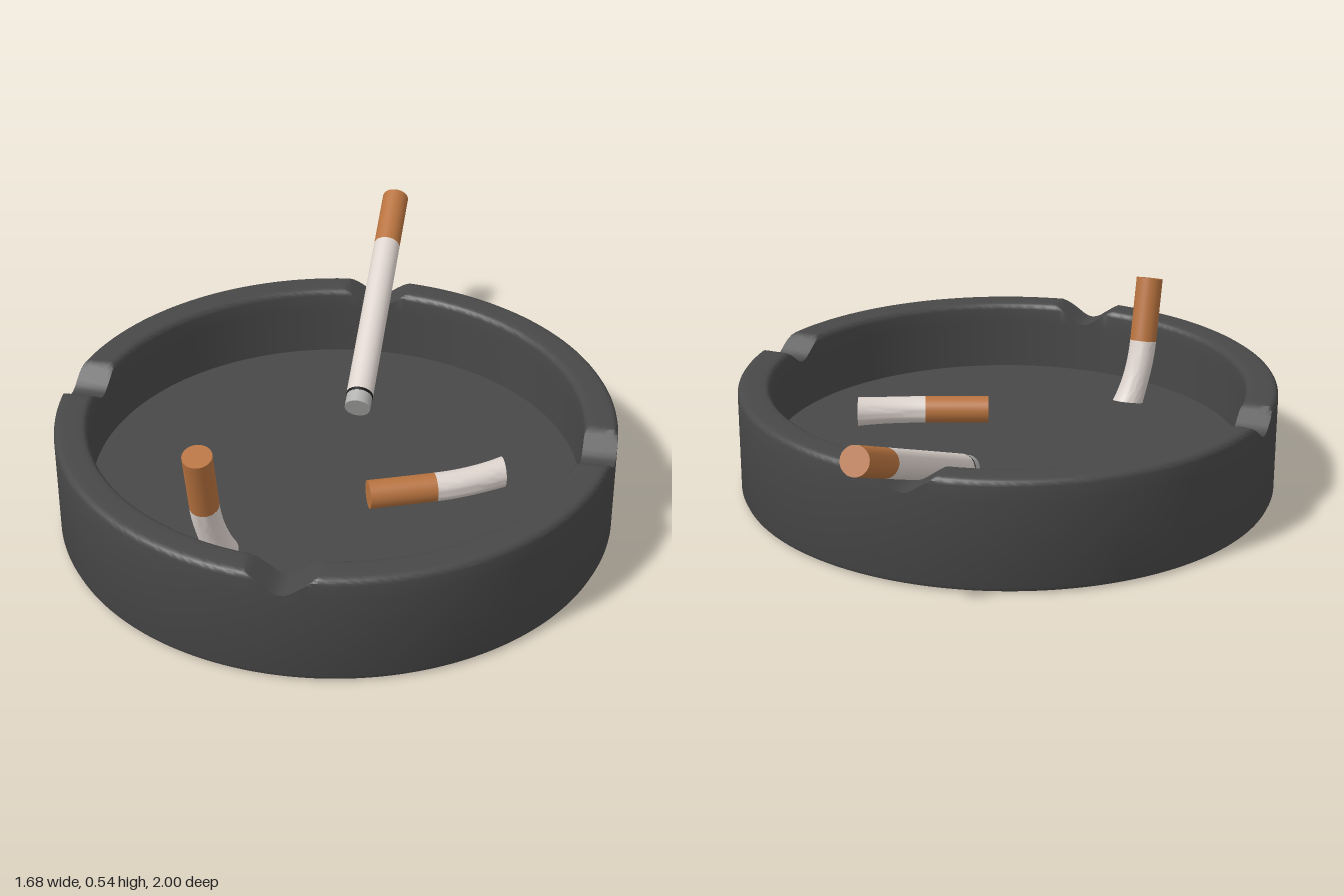
import * as THREE from 'three';
import { toCreasedNormals } from 'three/addons/utils/BufferGeometryUtils.js';

const TRAY_Z = 0.155, RIM_Y = 0.345, FLOOR_Y = 0.12, R = 0.043;
const mat = (color) => new THREE.MeshStandardMaterial({ color });
const V = (x, y, z) => new THREE.Vector3(x, y, z);

// Height of the rounded V-shaped rests cut into the rim (tray-local x, z)
function notchHeight(x, z) {
  const d = Math.abs(z) > Math.abs(x) ? Math.abs(x) : Math.abs(z - Math.sign(x) * 0.055);
  return d < 0.03 ? 0.285 + 0.01 * (d / 0.03) ** 2 : 0.295 + (d - 0.03) * 0.714;
}

function makeTray() {
  const outer = 0.84, inner = 0.74, b = 0.02;
  const pts = [[0, 0], [outer - b, 0], [outer - 0.006, 0.006], [outer, b], [outer, 0.28]];
  // rounded outer lip, flat top, rounded inner lip
  for (let i = 0; i <= 4; i++) {
    const a = (i / 4) * Math.PI / 2;
    pts.push([outer - b + b * Math.cos(a), RIM_Y - b + b * Math.sin(a)]);
  }
  pts.push([0.8, RIM_Y], [0.78, RIM_Y]);
  for (let i = 0; i <= 4; i++) {
    const a = (i / 4) * Math.PI / 2;
    pts.push([inner + b - b * Math.sin(a), RIM_Y - b + b * Math.cos(a)]);
  }
  pts.push([inner, 0.28], [inner, FLOOR_Y], [0, FLOOR_Y]);

  const geo = new THREE.LatheGeometry(pts.map(([r, y]) => new THREE.Vector2(r, y)), 360);
  const p = geo.attributes.position;
  for (let i = 0; i < p.count; i++) {
    if (p.getY(i) > 0.28) p.setY(i, Math.min(p.getY(i), notchHeight(p.getX(i), p.getZ(i))));
  }
  const tray = new THREE.Mesh(toCreasedNormals(geo, 0.5), mat(0x484848));
  tray.name = 'tray';
  tray.position.z = TRAY_Z;
  return tray;
}

// Cylinder from a to b; the b end may be shifted by a bend and widened by a flare
function rod(name, a, b, color, { r = R, bend = null, flare = 0 } = {}) {
  const len = a.distanceTo(b);
  const geo = new THREE.CylinderGeometry(r, r, len, 32, bend ? 10 : 1);
  geo.translate(0, len / 2, 0);
  geo.applyQuaternion(new THREE.Quaternion().setFromUnitVectors(V(0, 1, 0), b.clone().sub(a).normalize()));
  if (bend) {
    const p = geo.attributes.position, dir = b.clone().sub(a).normalize(), v = V(0, 0, 0);
    for (let i = 0; i < p.count; i++) {
      v.fromBufferAttribute(p, i);
      const t = v.dot(dir) / len, axis = dir.clone().multiplyScalar(v.dot(dir));
      v.sub(axis).multiplyScalar(1 + flare * t ** 4).add(axis).addScaledVector(bend, t * t);
      p.setXYZ(i, v.x, v.y, v.z);
    }
  }
  const mesh = new THREE.Mesh(bend ? toCreasedNormals(geo, 0.7) : geo, mat(color));
  mesh.position.copy(a);
  mesh.name = name;
  return mesh;
}

const FILTER = 0xb8733f, PAPER = 0xded4ce, ASH = 0xb0b0ae, CHAR = 0x181818;

// Crushed butt: straight filter and a bent, flared paper end
function makeButt(name, top, joint, end, bend, flare) {
  const g = new THREE.Group();
  g.name = name;
  g.add(rod('filter', top, joint, FILTER), rod('bentPaper', joint, end, PAPER, { bend, flare }));
  return g;
}

// Whole cigarette leaning on the back rest
function makeLongCigarette() {
  const g = new THREE.Group();
  g.name = 'longCigarette';
  const start = V(0, 0.495, -0.985), end = V(0.01, 0.157, -0.165);
  const at = (t) => start.clone().lerp(end, t);
  g.add(
    rod('filter', at(0), at(0.24), FILTER),
    rod('paper', at(0.24), at(0.94), PAPER),
    rod('charredRing', at(0.94), at(0.95), CHAR, { r: R * 0.99 }),
    rod('ash', at(0.95), at(1), ASH, { r: R * 0.95 })
  );
  return g;
}

export function createModel() {
  const model = new THREE.Group();
  model.name = 'ashtray';
  model.add(
    makeTray(),
    makeLongCigarette(),
    makeButt('standingButt', V(-0.28, 0.53, 0.738), V(-0.28, 0.33, 0.682),
      V(-0.28, 0.135, 0.627), V(0.028, 0, -0.01), 0.15),
    makeButt('lyingButt', V(0.125, 0.163, 0.312), V(0.315, 0.163, 0.238),
      V(0.502, 0.163, 0.165), V(0.003, 0.005, -0.036), 0.08)
  );
  return model;
}
